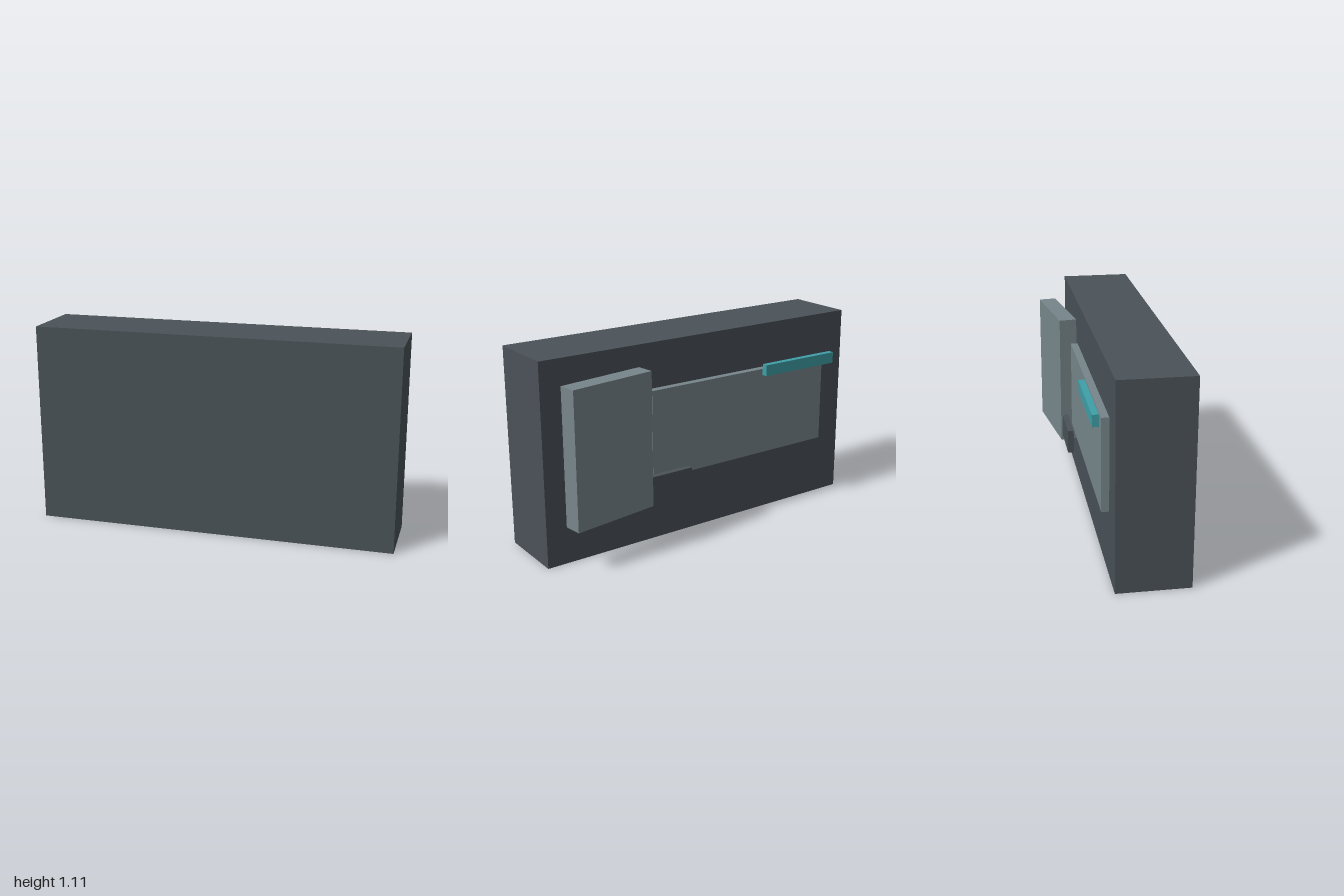
import * as THREE from 'three';

const material = (color) => new THREE.MeshStandardMaterial({ color });

export function createModel() {
  const model = new THREE.Group();
  const dark = material(0x4a5258);
  const grey = material(0x77868b);
  const teal = material(0x3fa0a8);

  // Box given by its centre and size
  function box(name, mat, [x, y, z], [w, h, d]) {
    const mesh = new THREE.Mesh(new THREE.BoxGeometry(w, h, d), mat);
    mesh.name = name;
    mesh.position.set(x, y, z);
    model.add(mesh);
    return mesh;
  }

  // Main slab
  box('body', dark, [0, 0.555, 0.085], [2, 1.11, 0.39]);

  // Thin plate lying on the back of the slab
  box('backPlate', grey, [-0.225, 0.61, -0.13], [1.19, 0.5, 0.04]);

  // Panel standing slightly ajar
  const panel = box('tiltedPanel', grey, [0.665, 0.615, -0.195], [0.5, 0.75, 0.1]);
  panel.rotation.y = 0.14;

  // Bars floating just off the plate
  box('tealBar', teal, [-0.61, 0.862, -0.183], [0.5, 0.063, 0.034]);
  box('darkBar', dark, [0.35, 0.333, -0.183], [0.4, 0.135, 0.034]);

  return model;
}
